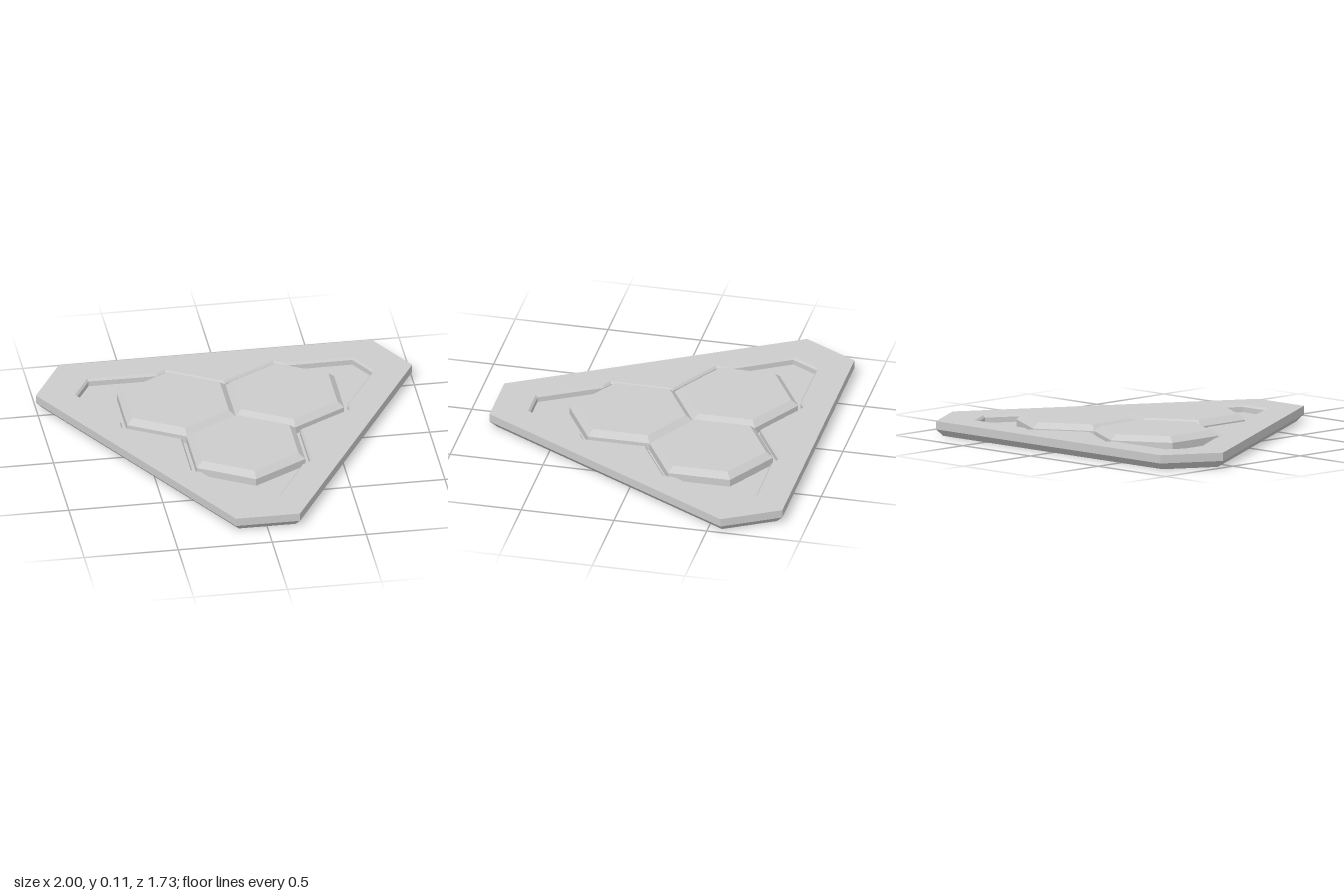
import * as THREE from 'three';
import { mergeGeometries } from 'three/addons/utils/BufferGeometryUtils.js';

const CENTRE_Z = -0.192; // axis of the threefold symmetry
const FLOOR = 0.04, TOP = 0.08, TILE_TOP = 0.11;

// Repeat a list of [x, z] points three times around the axis
function threefold(points) {
  return [0, 1, 2].flatMap((k) => {
    const a = (k * Math.PI * 2) / 3;
    return points.map(([x, z]) => new THREE.Vector2(x, z).rotateAround(new THREE.Vector2(), a));
  });
}

// Move every edge of a loop inward by d, with mitred corners
function inset(loop, d) {
  const n = loop.length;
  const normal = (a, b) => {
    const e = b.clone().sub(a).normalize();
    return new THREE.Vector2(-e.y, e.x);
  };
  return loop.map((p, i) => {
    const n1 = normal(loop[(i + n - 1) % n], p);
    const n2 = normal(p, loop[(i + 1) % n]);
    return p.clone().addScaledVector(n1.clone().add(n2), d / (1 + n1.dot(n2)));
  });
}

// Walls through a list of { loop, y }; rising rings face out, falling rings face in
function walls(rings) {
  const pos = [];
  for (let r = 0; r < rings.length - 1; r++) {
    const a = rings[r], b = rings[r + 1], n = a.loop.length;
    for (let i = 0; i < n; i++) {
      const j = (i + 1) % n;
      const v = (ring, k) => [ring.loop[k].x, ring.y, ring.loop[k].y];
      pos.push(...v(a, i), ...v(b, i), ...v(b, j), ...v(a, i), ...v(b, j), ...v(a, j));
    }
  }
  const g = new THREE.BufferGeometry();
  g.setAttribute('position', new THREE.Float32BufferAttribute(pos, 3));
  g.computeVertexNormals();
  return g;
}

// Flat face at height y, optionally with a hole
function cap(loop, y, hole, down = false) {
  const flip = (l) => l.map((p) => new THREE.Vector2(p.x, down ? p.y : -p.y));
  const shape = new THREE.Shape(flip(loop));
  if (hole) shape.holes.push(new THREE.Path(flip(hole)));
  const g = new THREE.ShapeGeometry(shape).toNonIndexed();
  g.deleteAttribute('uv');
  return g.rotateX(down ? Math.PI / 2 : -Math.PI / 2).translate(0, y, 0);
}

export function createModel() {
  const group = new THREE.Group();
  const material = new THREE.MeshStandardMaterial({ color: 0xcccccc, flatShading: true });
  const add = (name, ...parts) => {
    const mesh = new THREE.Mesh(mergeGeometries(parts), material);
    mesh.name = name;
    mesh.position.z = CENTRE_Z;
    group.add(mesh);
    return mesh;
  };

  // Triangular plate with cut corners and a chamfered underside
  const rim = threefold([[0.17, 1.057], [-0.17, 1.057]]);
  const base = inset(rim, 0.034);
  const pocket = threefold([
    [0.323, 0.186], [0.323, 0.52], [0.27, 0.55], [0.09, 0.868],
    [-0.09, 0.868], [-0.27, 0.55], [-0.323, 0.52],
  ]);
  add('plate',
    walls([{ loop: base, y: 0 }, { loop: rim, y: 0.036 }, { loop: rim, y: TOP }]),
    cap(rim, TOP, pocket),
    cap(base, 0, null, true));

  // Three-armed recess with a bevelled lip
  const inner = inset(pocket, 0.01);
  add('recess',
    walls([{ loop: pocket, y: TOP }, { loop: inner, y: TOP - 0.012 }, { loop: inner, y: FLOOR }]),
    cap(inner, FLOOR));

  // Three touching hexagonal tiles with bevelled tops
  const hexagon = Array.from({ length: 6 }, (_, i) => {
    const a = Math.PI / 6 + (i * Math.PI) / 3;
    return new THREE.Vector2(Math.cos(a), Math.sin(a)).multiplyScalar(0.333);
  });
  const face = inset(hexagon, 0.033);
  for (const c of threefold([[0, 0.333]])) {
    const tile = add('hexagonTile',
      walls([{ loop: hexagon, y: FLOOR }, { loop: hexagon, y: TOP }, { loop: face, y: TILE_TOP }]),
      cap(face, TILE_TOP));
    tile.position.x += c.x;
    tile.position.z += c.y;
  }
  return group;
}
